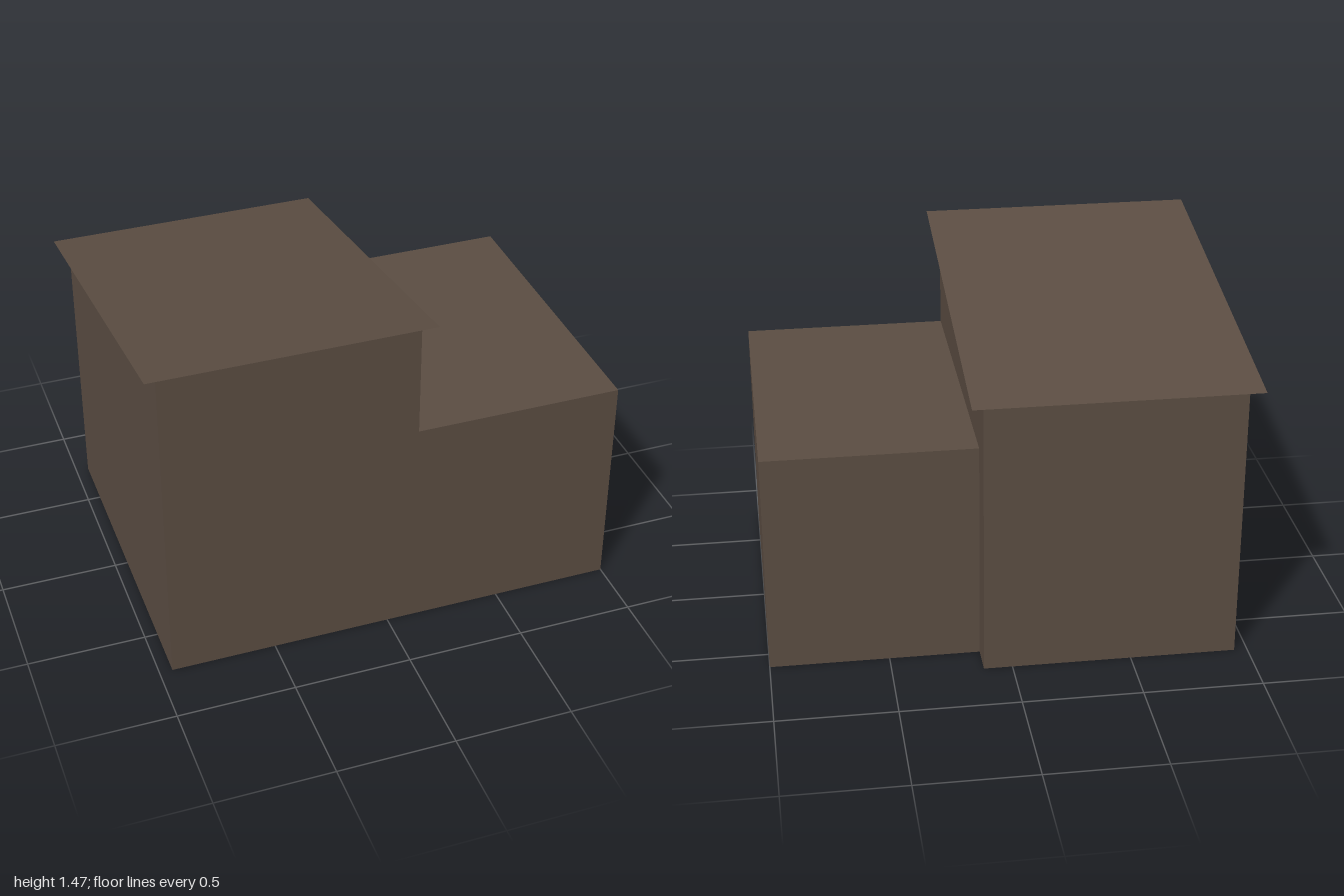
import * as THREE from 'three';

const brown = new THREE.MeshStandardMaterial({ color: 0x5c4e43, side: THREE.DoubleSide });
brown.name = 'brown';

// Flat four-cornered panel, corners counter-clockwise seen from outside
function panel(name, a, b, c, d) {
  const geometry = new THREE.BufferGeometry();
  geometry.setAttribute('position', new THREE.Float32BufferAttribute([a, b, c, a, c, d].flat(), 3));
  geometry.computeVertexNormals();
  const mesh = new THREE.Mesh(geometry, brown);
  mesh.name = name;
  return mesh;
}

// Upright wall from (x1, z1) to (x2, z2), with a top height at each end
function wall(name, x1, z1, h1, x2, z2, h2) {
  return panel(name, [x1, 0, z1], [x2, 0, z2], [x2, h2, z2], [x1, h1, z1]);
}

export function createModel() {
  const model = new THREE.Group();
  model.name = 'building';

  const left = -0.945, middle = 0.12, right = 1;
  const front = 0.733, back = -0.733, wingBack = -0.6;
  const wingHeight = 0.955;
  const slope = 0.165;
  const roofY = (z) => 1.342 + slope * z;

  // Tall block: open underneath, closed by the sloping roof
  const tall = new THREE.Group();
  tall.name = 'tallBlock';
  const hf = roofY(front), hb = roofY(back);
  tall.add(
    wall('tallFrontWall', left, front, hf, middle, front, hf),
    wall('tallInnerSideWall', middle, front, hf, middle, back, hb),
    wall('tallBackWall', middle, back, hb, left, back, hb),
    wall('tallOuterSideWall', left, back, hb, left, front, hf)
  );

  // Thin roof sheet overhanging all round
  const e = 0.785, x1 = -1, x2 = 0.172;
  tall.add(panel('slopingRoof',
    [x1, roofY(e), e], [x2, roofY(e), e], [x2, roofY(-e), -e], [x1, roofY(-e), -e]));

  // Low side wing: open underneath, flat on top
  const wing = new THREE.Group();
  wing.name = 'sideWing';
  const h = wingHeight;
  wing.add(
    wall('wingFrontWall', middle, front, h, right, front, h),
    wall('wingSideWall', right, front, h, right, wingBack, h),
    wall('wingBackWall', right, wingBack, h, middle, wingBack, h),
    panel('wingRoof', [middle, h, front], [right, h, front], [right, h, wingBack], [middle, h, wingBack])
  );

  model.add(tall, wing);
  return model;
}
